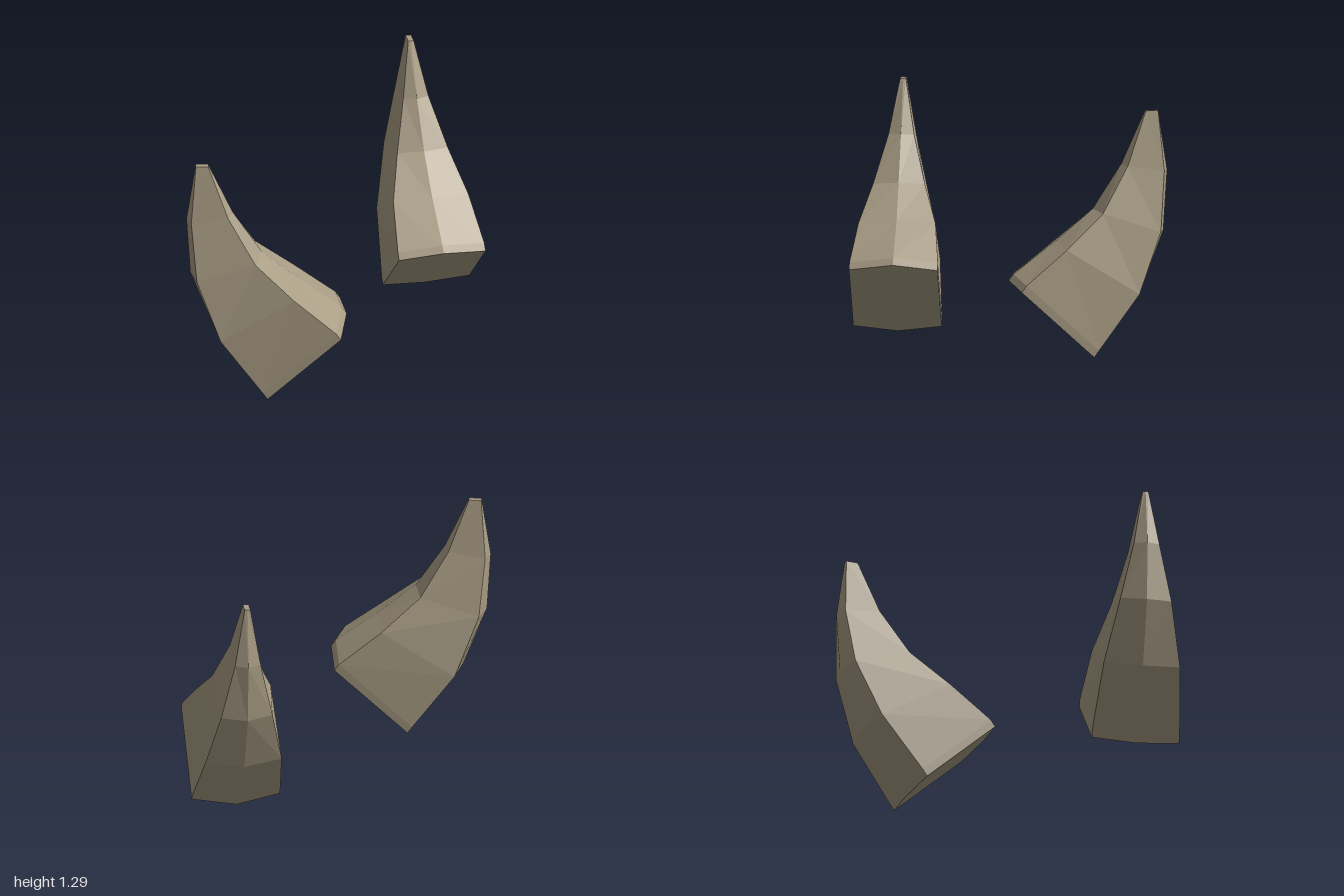
import * as THREE from 'three';

// Cross-sections from base to tip: centre of the outer (lower) side,
// centre of the inner (upper) side, half width, ridge height.
const SECTIONS = [
  { low: [-0.035, 0.03, 0.67], high: [0.262, 0.38, 0.43], half: 0.231, ridge: 0.045 },
  { low: [-0.055, 0.065, 0.685], high: [0.242, 0.415, 0.445], half: 0.231, ridge: 0.045 },
  { low: [-0.23, 0.353, 0.818], high: [0.07, 0.592, 0.578], half: 0.201, ridge: 0.037 },
  { low: [-0.325, 0.67, 0.895], high: [-0.085, 0.77, 0.705], half: 0.135, ridge: 0.035 },
  { low: [-0.348, 0.98, 0.912], high: [-0.198, 1.01, 0.792], half: 0.067, ridge: 0.025 },
  { low: [-0.33, 1.29, 0.895], high: [-0.28, 1.29, 0.855], half: 0.015, ridge: 0.002 },
];
const ACROSS = new THREE.Vector3(0.628, 0, 0.778);

// Six corners of one cross-section: two flat sides joined by two shallow ridges
function ring({ low, high, half, ridge }) {
  const l = new THREE.Vector3(...low);
  const h = new THREE.Vector3(...high);
  const out = h.clone().sub(l).normalize().multiplyScalar(ridge);
  const at = (p, w) => p.clone().addScaledVector(ACROSS, w);
  return [at(l, half), at(h, half), h.clone().add(out), at(h, -half), at(l, -half), l.clone().sub(out)];
}

// Lofted horn; side = 1 or -1 mirrors it in z
function hornGeometry(side) {
  const rings = SECTIONS.map(ring);
  const positions = [];
  const tri = (a, b, c) => {
    for (const p of side > 0 ? [a, b, c] : [a, c, b]) positions.push(p.x, p.y, p.z * side);
  };
  for (let i = 0; i < rings.length - 1; i++) {
    for (let j = 0; j < 6; j++) {
      const k = (j + 1) % 6;
      tri(rings[i][j], rings[i][k], rings[i + 1][k]);
      tri(rings[i][j], rings[i + 1][k], rings[i + 1][j]);
    }
  }
  // base and tip caps
  const base = rings[0];
  const tip = rings[rings.length - 1];
  for (let j = 1; j < 5; j++) {
    tri(base[0], base[j + 1], base[j]);
    tri(tip[0], tip[j], tip[j + 1]);
  }
  const geometry = new THREE.BufferGeometry();
  geometry.setAttribute('position', new THREE.Float32BufferAttribute(positions, 3));
  geometry.computeVertexNormals();
  return geometry;
}

export function createModel() {
  const model = new THREE.Group();
  model.name = 'hornPair';
  const material = new THREE.MeshStandardMaterial({ color: 0xa89c84, flatShading: true });
  for (const [name, side] of [['frontHorn', 1], ['backHorn', -1]]) {
    const horn = new THREE.Mesh(hornGeometry(side), material);
    horn.name = name;
    model.add(horn);
  }
  return model;
}
